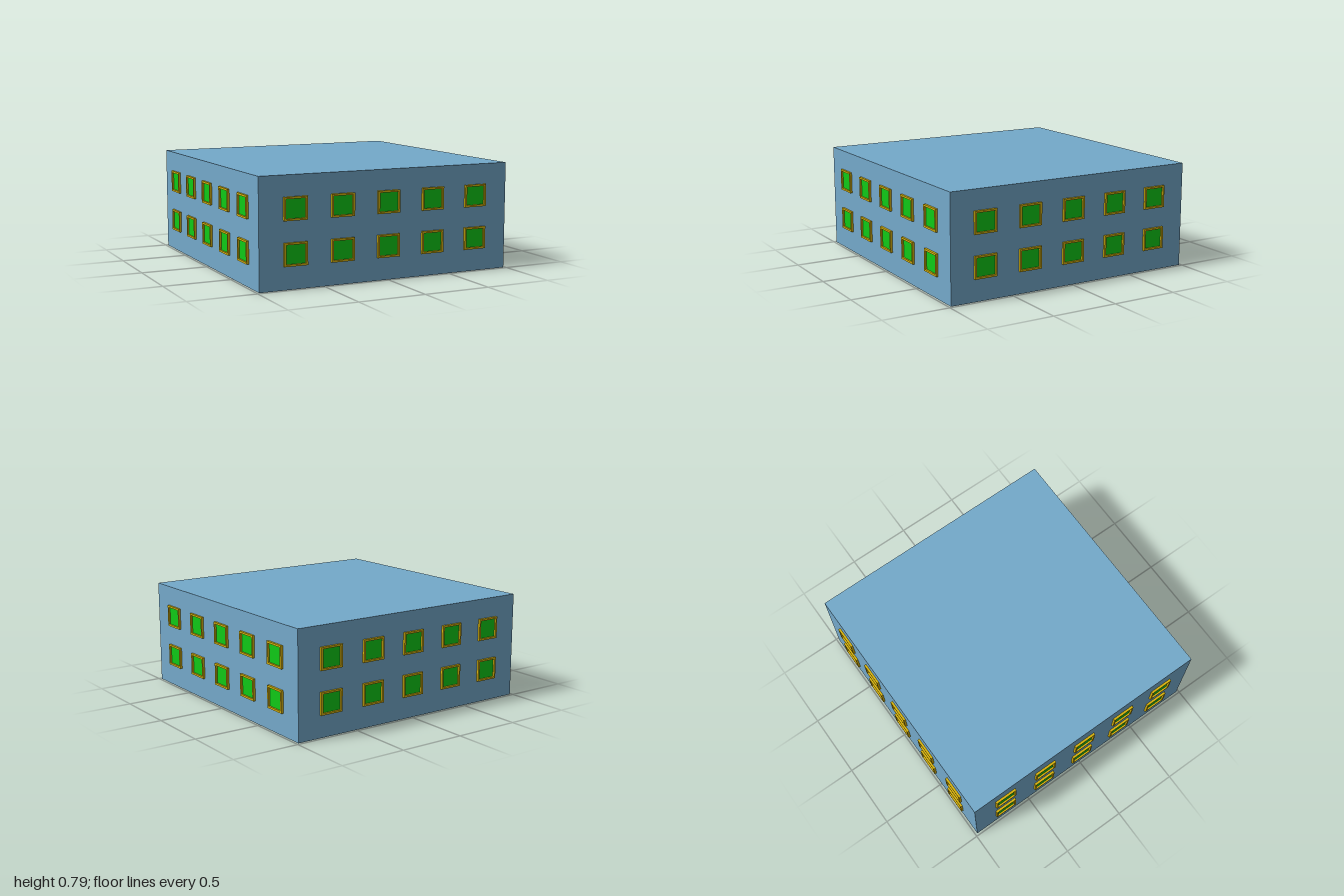
import * as THREE from 'three';

const HALF = 0.983, HEIGHT = 0.788;
const WIN_W = 0.176, WIN_H = 0.163, BAR = 0.014, DEPTH = 0.017;

export function createModel() {
  const model = new THREE.Group();
  model.name = 'building';
  const wallMat = new THREE.MeshStandardMaterial({ color: 0x74a9ca });
  const frameMat = new THREE.MeshStandardMaterial({ color: 0xd9b40c });
  const glassMat = new THREE.MeshStandardMaterial({ color: 0x0fca17 });

  // Main block
  const body = new THREE.Mesh(new THREE.BoxGeometry(HALF * 2, HEIGHT, HALF * 2), wallMat);
  body.name = 'buildingBody';
  body.position.y = HEIGHT / 2;
  model.add(body);

  // Window frame: a rectangle with a rectangular opening
  const rect = (target, w, h) => target
    .moveTo(-w / 2, -h / 2).lineTo(w / 2, -h / 2)
    .lineTo(w / 2, h / 2).lineTo(-w / 2, h / 2).closePath();
  const inW = WIN_W - BAR * 2, inH = WIN_H - BAR * 2;
  const outline = rect(new THREE.Shape(), WIN_W, WIN_H);
  outline.holes.push(rect(new THREE.Path(), inW, inH));
  const frameGeo = new THREE.ExtrudeGeometry(outline, { depth: DEPTH, bevelEnabled: false });

  // Pane set back inside the frame
  const glassGeo = new THREE.PlaneGeometry(inW, inH).translate(0, 0, 0.004);

  // Two rows of five windows on each of the four walls
  for (let side = 0; side < 4; side++) {
    const wall = new THREE.Group();
    wall.name = ['front', 'left', 'back', 'right'][side] + 'Windows';
    wall.rotation.y = side * Math.PI / 2;
    for (const y of [0.245, 0.558]) {
      for (let i = -2; i <= 2; i++) {
        const win = new THREE.Group();
        win.name = 'window';
        const frame = new THREE.Mesh(frameGeo, frameMat);
        frame.name = 'windowFrame';
        const glass = new THREE.Mesh(glassGeo, glassMat);
        glass.name = 'windowPane';
        win.add(frame, glass);
        win.position.set(i * 0.358, y, HALF);
        wall.add(win);
      }
    }
    model.add(wall);
  }
  return model;
}
